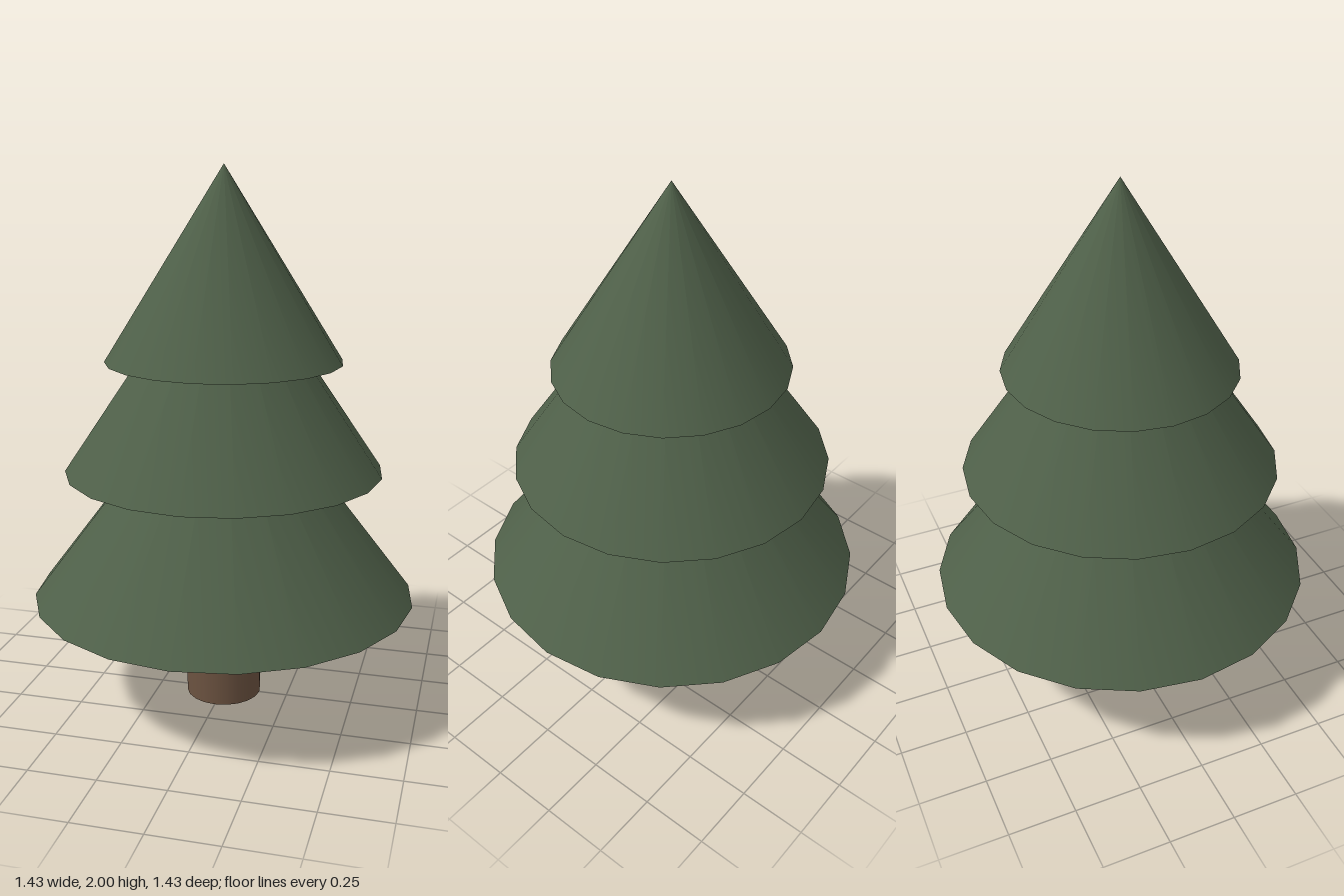
import * as THREE from 'three';

export function createModel() {
  const model = new THREE.Group();
  const green = new THREE.MeshStandardMaterial({ color: 0x4f6049 });
  const brown = new THREE.MeshStandardMaterial({ color: 0x6b5240 });

  // Trunk, running a little way into the lowest tier
  const trunkHeight = 0.5;
  const trunk = new THREE.Mesh(new THREE.CylinderGeometry(0.142, 0.142, trunkHeight, 20), brown);
  trunk.name = 'trunk';
  trunk.position.y = trunkHeight / 2;
  model.add(trunk);

  // Stacked cone tiers of foliage; the top one is slightly narrower in depth
  const tiers = [
    { name: 'lowerFoliage', radius: 0.716, base: 0.413, apex: 1.355, depth: 1 },
    { name: 'middleFoliage', radius: 0.588, base: 0.898, apex: 1.77, depth: 1 },
    { name: 'upperFoliage', radius: 0.435, base: 1.304, apex: 2, depth: 0.98 },
  ];
  for (const { name, radius, base, apex, depth } of tiers) {
    const height = apex - base;
    const tier = new THREE.Mesh(new THREE.ConeGeometry(radius, height, 20), green);
    tier.name = name;
    tier.position.y = base + height / 2;
    tier.scale.z = depth;
    model.add(tier);
  }

  return model;
}
